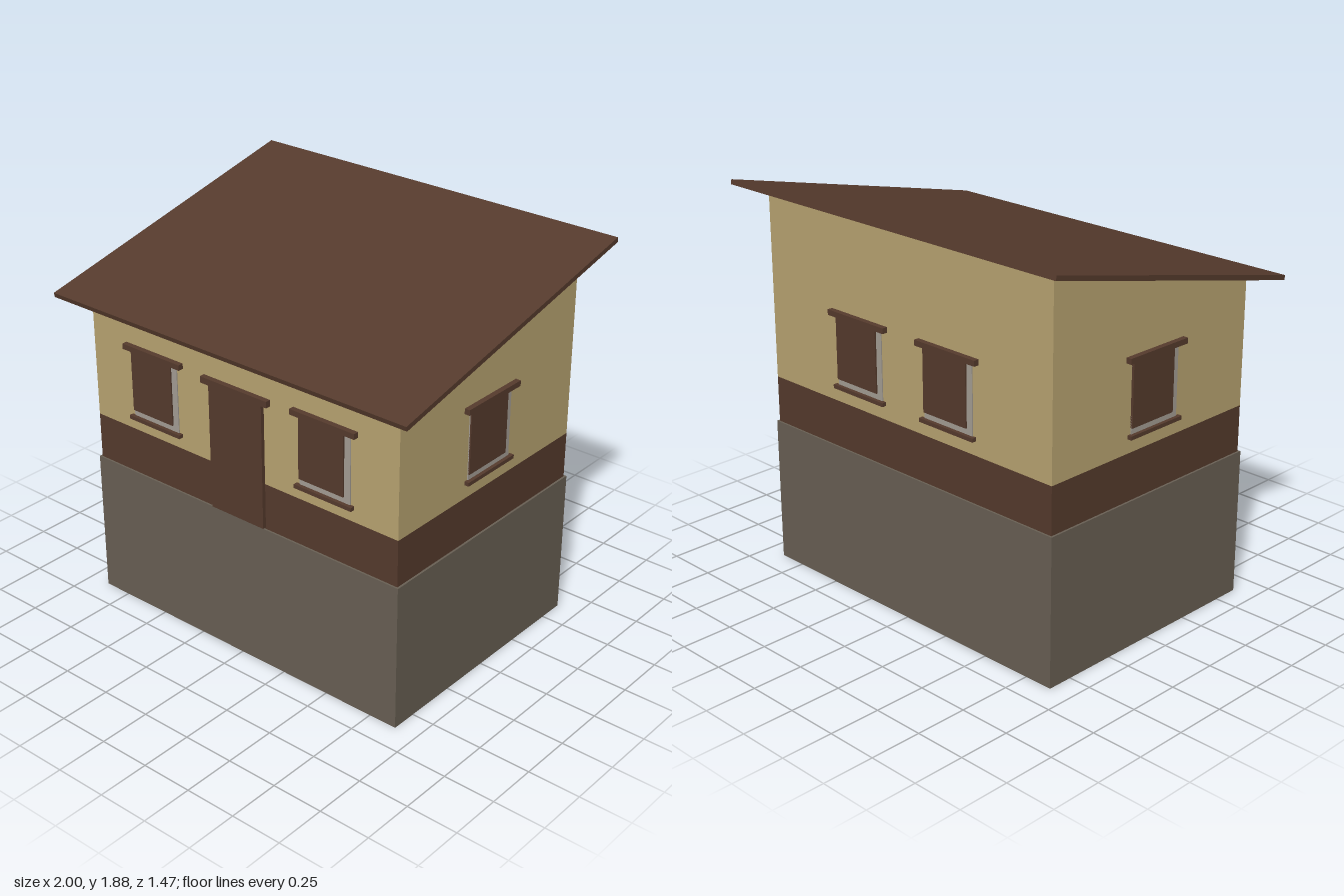
import * as THREE from 'three';

const mat = (name, color) => {
  const m = new THREE.MeshStandardMaterial({ color });
  m.name = name;
  return m;
};

export function createModel() {
  const stone = mat('stone', 0x696054);
  const plaster = mat('plaster', 0xbaa572);
  const wood = mat('brown wood', 0x563b2d);
  const frameGrey = mat('frame grey', 0xa59e95);
  const house = new THREE.Group();
  house.name = 'house';

  // Box given by its limits on each axis
  const box = (parent, name, material, [x0, x1], [y0, y1], [z0, z1]) => {
    const mesh = new THREE.Mesh(new THREE.BoxGeometry(x1 - x0, y1 - y0, z1 - z0), material);
    mesh.position.set((x0 + x1) / 2, (y0 + y1) / 2, (z0 + z1) / 2);
    mesh.name = name;
    parent.add(mesh);
    return mesh;
  };

  // Side profile of (z, y) points extruded across the width
  const profile = (name, material, points, halfWidth) => {
    const shape = new THREE.Shape(points.map(([z, y]) => new THREE.Vector2(z, y)));
    const geo = new THREE.ExtrudeGeometry(shape, { depth: halfWidth * 2, bevelEnabled: false });
    geo.translate(0, 0, -halfWidth).rotateY(-Math.PI / 2);
    const mesh = new THREE.Mesh(geo, material);
    mesh.name = name;
    house.add(mesh);
  };

  // Foundation, lower band, sloping walls and roof slab
  box(house, 'foundation', stone, [-0.89, 0.89], [0, 0.708], [-0.625, 0.625]);
  box(house, 'lowerWall', wood, [-0.88, 0.88], [0.708, 0.932], [-0.616, 0.616]);
  profile('upperWall', plaster, [[0.616, 0.932], [0.616, 1.55], [-0.616, 1.831], [-0.616, 0.932]], 0.88);
  profile('roof', wood, [[0.73, 1.523], [0.735, 1.545], [-0.73, 1.879], [-0.735, 1.857]], 1);

  // Door with lintel
  const door = new THREE.Group();
  door.name = 'door';
  house.add(door);
  box(door, 'doorPanel', wood, [-0.155, 0.15], [0.715, 1.32], [0.61, 0.634]);
  box(door, 'doorLintel', wood, [-0.195, 0.187], [1.32, 1.35], [0.61, 0.642]);

  // Window: grey backing, shutter set to the upper left, lintel and sill
  const addWindow = (name, w, dy, x, z, turn) => {
    const win = new THREE.Group();
    win.name = name;
    const h = w / 2;
    box(win, 'windowFrame', frameGrey, [-h, h], [1.005, 1.337], [-0.004, 0.005]);
    box(win, 'windowShutter', wood, [-h, h - 0.032], [1.036, 1.337], [-0.004, 0.012]);
    box(win, 'windowLintel', wood, [-h - 0.036, h + 0.036], [1.335, 1.361], [-0.004, 0.026]);
    box(win, 'windowSill', wood, [-h - 0.018, h + 0.018], [0.99, 1.008], [-0.004, 0.022]);
    win.position.set(x, dy, z);
    win.rotation.y = turn;
    house.add(win);
  };
  addWindow('frontWindowRight', 0.277, 0, -0.497, 0.616, 0);
  addWindow('frontWindowLeft', 0.277, 0, 0.49, 0.616, 0);
  addWindow('backWindowLeft', 0.292, 0.009, 0.283, -0.616, Math.PI);
  addWindow('backWindowRight', 0.292, 0.009, -0.28, -0.616, Math.PI);
  addWindow('sideWindowLeft', 0.294, 0.009, 0.88, 0.002, Math.PI / 2);
  addWindow('sideWindowRight', 0.294, 0.009, -0.88, 0.01, -Math.PI / 2);

  return house;
}
